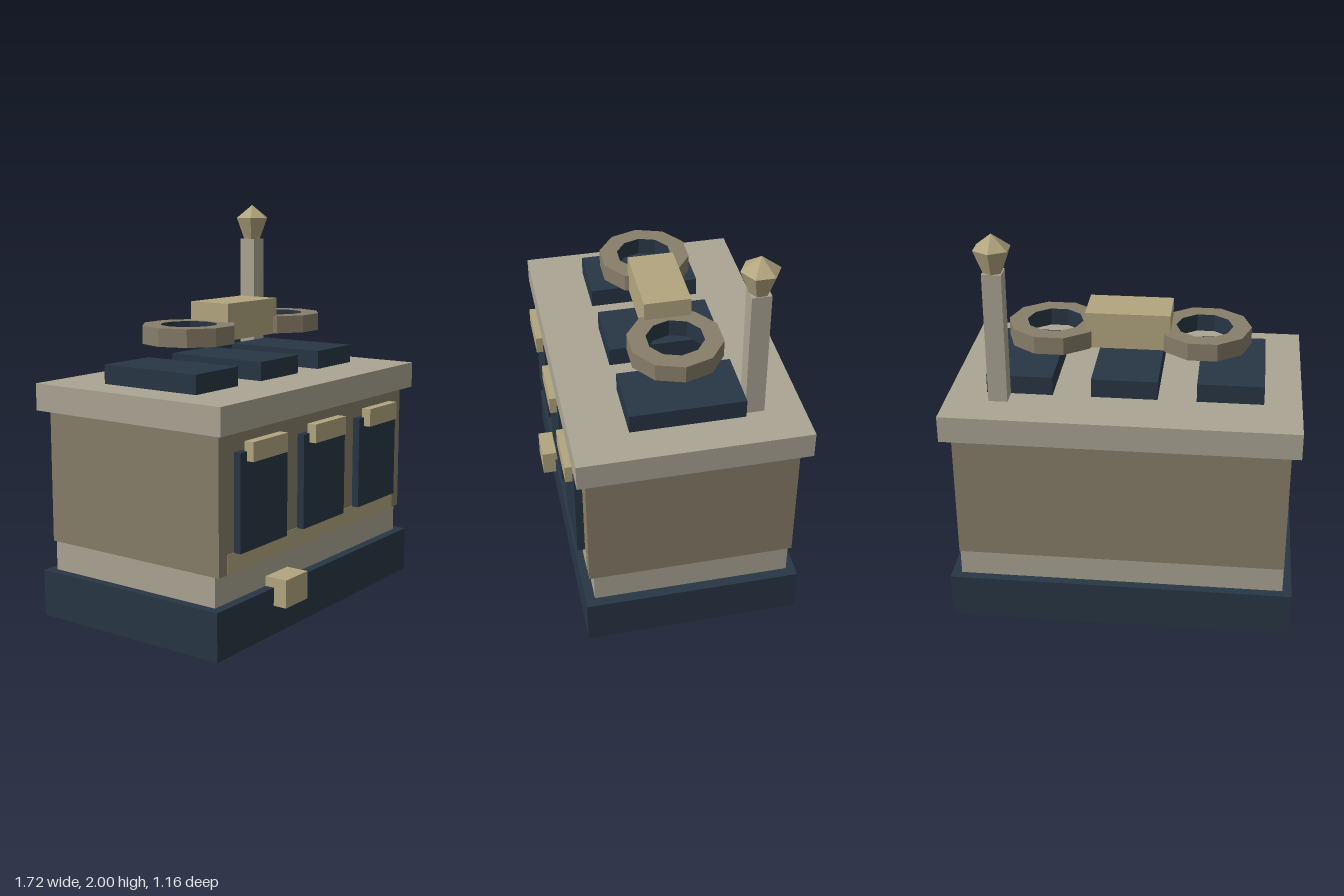
import * as THREE from 'three';

const paint = (color) => new THREE.MeshStandardMaterial({ color, flatShading: true });

export function createModel() {
  const model = new THREE.Group();
  const navy = paint(0x283645);
  const stone = paint(0xaba594);
  const wall = paint(0x887e69);
  const tan = paint(0xb3a67f);

  const add = (name, geometry, material) => {
    const mesh = new THREE.Mesh(geometry, material);
    mesh.name = name;
    model.add(mesh);
    return mesh;
  };
  // Box given by its extents along each axis
  const box = (name, material, [x0, x1], [y0, y1], [z0, z1]) =>
    add(name, new THREE.BoxGeometry(x1 - x0, y1 - y0, z1 - z0), material)
      .position.set((x0 + x1) / 2, (y0 + y1) / 2, (z0 + z1) / 2);
  // Faceted turned part from [radius, height] pairs
  const turned = (name, material, profile, sides, start, x, z) =>
    add(name, new THREE.LatheGeometry(profile.map(([r, y]) => new THREE.Vector2(r, y)), sides, start), material)
      .position.set(x, 0, z);

  // Stacked main body
  box('base', navy, [-0.86, 0.86], [0, 0.232], [-0.56, 0.512]);
  box('plinth', stone, [-0.815, 0.81], [0.232, 0.375], [-0.515, 0.465]);
  box('body', wall, [-0.815, 0.81], [0.375, 1.03], [-0.535, 0.488]);
  box('roofSlab', stone, [-0.86, 0.86], [1.03, 1.163], [-0.583, 0.533]);
  box('lowerBand', tan, [-0.75, 0.742], [0.376, 0.47], [-0.534, 0.49]);
  box('frontBlock', tan, [-0.418, -0.235], [0.143, 0.28], [0.465, 0.582]);

  // Three bays: front panel with its handle, and roof pad
  for (const i of [-1, 0, 1]) {
    const x = i * 0.513 - 0.002;
    box('frontPanel', navy, [x - 0.186, x + 0.186], [0.467, 0.932], [0.47, 0.525]);
    box('panelHandle', tan, [x - 0.138, x + 0.138], [0.887, 0.978], [0.512, 0.56]);
    box('roofPad', navy, [x - 0.162, x + 0.162], [1.163, 1.257], [-0.302, 0.255]);
  }

  // Two ten-sided rings with dark inner walls, joined by a bridge block
  for (const x of [-0.372, 0.37]) {
    turned('ring', wall, [[0.14, 1.355], [0.231, 1.355], [0.231, 1.443], [0.14, 1.443]], 10, Math.PI / 2, x, -0.026);
    turned('ringInnerWall', navy, [[0.14, 1.443], [0.14, 1.355]], 10, Math.PI / 2, x, -0.026);
  }
  box('ringBridge', tan, [-0.21, 0.206], [1.353, 1.535], [-0.141, 0.09]);

  // Rear post with a six-sided finial
  box('post', stone, [0.555, 0.648], [1.163, 1.815], [-0.395, -0.302]);
  turned('finial', tan, [[0, 1.815], [0.048, 1.815], [0.0925, 1.93], [0, 2]], 6, 0, 0.602, -0.349);

  return model;
}
